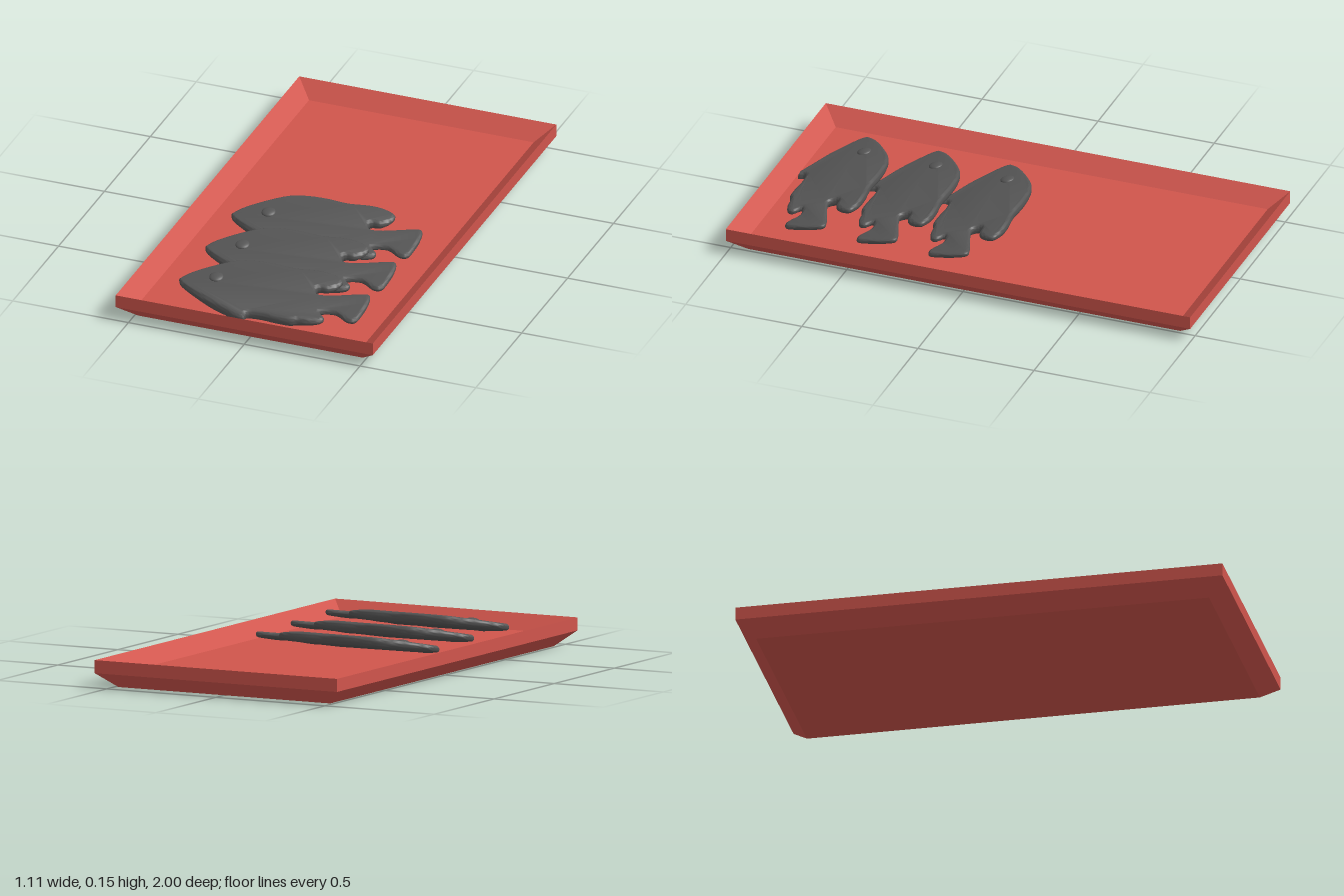
import * as THREE from 'three';
import { toCreasedNormals } from 'three/addons/utils/BufferGeometryUtils.js';

const red = new THREE.MeshStandardMaterial({ color: 0xd0554c });
red.name = 'trayRed';
const grey = new THREE.MeshStandardMaterial({ color: 0x555555 });
grey.name = 'fishGrey';

// Tray: rectangular rings [inset, height] from the underside, over the rim, to the floor
function trayGeometry() {
  const rings = [[0.07, 0], [0, 0.06], [0, 0.113], [0.07, 0.053]].map(([inset, y]) =>
    [[-1, 1], [1, 1], [1, -1], [-1, -1]].map(([sx, sz]) => [sx * (0.555 - inset), y, sz * (1 - inset)]));
  const pos = [];
  const quad = (a, b, c, d) => pos.push(...a, ...b, ...c, ...a, ...c, ...d);
  for (let r = 0; r < 3; r++) {
    for (let i = 0; i < 4; i++) {
      const j = (i + 1) % 4;
      quad(rings[r][i], rings[r][j], rings[r + 1][j], rings[r + 1][i]);
    }
  }
  quad(...rings[3]);
  quad(...[...rings[0]].reverse());
  const g = new THREE.BufferGeometry();
  g.setAttribute('position', new THREE.Float32BufferAttribute(pos, 3));
  g.computeVertexNormals();
  return g;
}

// Fish outline seen from above, [x, z] in hundredths: back, tail, belly
const OUTLINE = [
  [-38, 0], [-35, -4.5], [-28, -10.5], [-19.5, -16], [-12, -18], [-3.5, -18.5], [5.5, -18], [13.5, -19],
  [21, -19], [26, -17], [25.5, -13], [22.5, -9.8], [19, -9.5], [18, -7.8], [20.5, -5.5],
  [29.5, -8.5], [36.5, -11], [40, -11], [41.2, -5.5], [41, 1], [40, 5.2], [36.5, 5.8], [30.5, 2.8],
  [24.5, 4.2], [27.3, 7], [26.5, 9.5], [22.5, 11.2], [18, 11.7], [14.5, 13.2], [8, 13.2], [3, 12.8],
  [-2.3, 13.2], [-4, 14.5], [-3.6, 16.8], [-7.5, 16.4], [-13, 14], [-20.5, 11], [-29, 6.8], [-36, 2.7]
];
const SLOPE = 0.2;

// Thickness factor along the body: thinner at the nose and the tail
function thickness(x) {
  const nose = THREE.MathUtils.smoothstep(x, -0.45, -0.15);
  const tail = THREE.MathUtils.smoothstep(x, 0.15, 0.28);
  return (0.55 + 0.45 * nose) * (1 - 0.45 * tail);
}

function fishGeometry() {
  const pts = OUTLINE.map(([x, z]) => new THREE.Vector2(x / 100, -z / 100));
  const curve = new THREE.SplineCurve([...pts, pts[0]]);
  const shape = new THREE.Shape(curve.getPoints(156).slice(0, -1));
  let g = new THREE.ExtrudeGeometry(shape, {
    depth: 0.008, bevelEnabled: true, bevelThickness: 0.018,
    bevelSize: 0.015, bevelOffset: -0.015, bevelSegments: 5
  });
  g.translate(0, 0, -0.004);
  g.rotateX(-Math.PI / 2);
  g.deleteAttribute('uv');
  // Taper the thickness and lean the fish up towards its back
  const p = g.attributes.position;
  for (let i = 0; i < p.count; i++) {
    p.setY(i, p.getY(i) * thickness(p.getX(i)) - SLOPE * p.getZ(i));
  }
  return toCreasedNormals(g, 0.8);
}

export function createModel() {
  const model = new THREE.Group();
  model.name = 'fishTray';

  const tray = new THREE.Mesh(trayGeometry(), red);
  tray.name = 'tray';
  model.add(tray);

  // Three fish laid overlapping in a row
  const bodyGeo = fishGeometry();
  const eyeGeo = new THREE.SphereGeometry(0.029, 20, 12);
  for (let i = 0; i < 3; i++) {
    const fish = new THREE.Group();
    fish.name = 'fish' + (i + 1);
    const body = new THREE.Mesh(bodyGeo, grey);
    body.name = 'fishBody';
    const eye = new THREE.Mesh(eyeGeo, grey);
    eye.name = 'fishEye';
    eye.scale.y = 0.35;
    eye.position.set(-0.235, 0.024, -0.04);
    eye.rotation.x = Math.atan(SLOPE);
    fish.add(body, eye);
    fish.position.set(-0.008 * (2 - i), 0.092 - 0.006 * (2 - i), 0.14 + 0.305 * i);
    model.add(fish);
  }
  return model;
}
